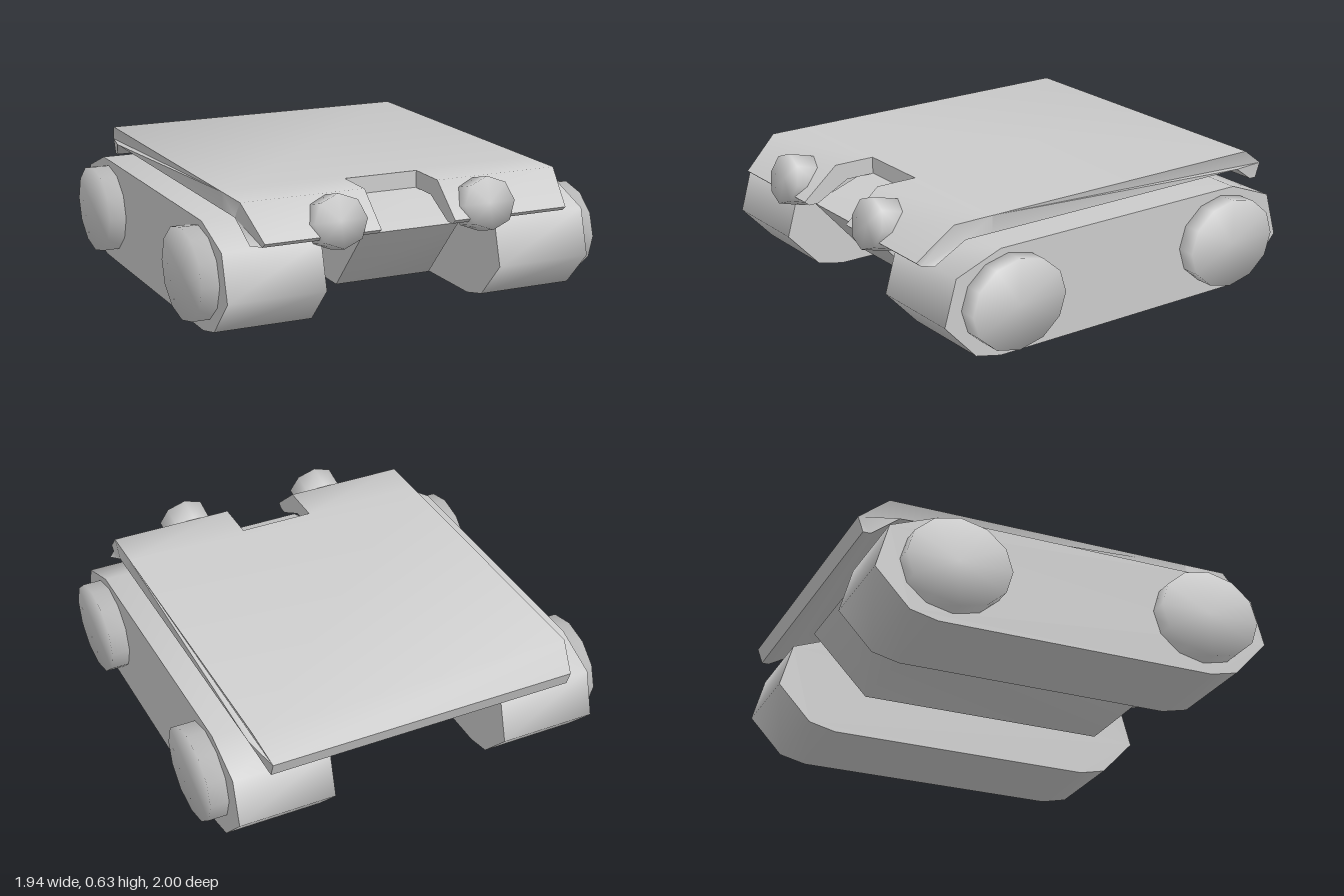
import * as THREE from 'three';
import { mergeVertices, toCreasedNormals } from 'three/addons/utils/BufferGeometryUtils.js';

const material = new THREE.MeshStandardMaterial({ color: 0xcccccc });

// Prism across x from x0 to x1, its outline given as [z, y] points
function prism(points, x0, x1) {
  const shape = new THREE.Shape(points.map(([z, y]) => new THREE.Vector2(z, y)));
  const geometry = new THREE.ExtrudeGeometry(shape, { depth: x1 - x0, bevelEnabled: false });
  return geometry.rotateY(-Math.PI / 2).translate(x1, 0, 0);
}

// Cylinder whose caps blend softly into the rim
function softCylinder(sides) {
  const geometry = new THREE.CylinderGeometry(1, 1, 1, sides);
  geometry.deleteAttribute('normal');
  geometry.deleteAttribute('uv');
  const merged = mergeVertices(geometry);
  merged.computeVertexNormals();
  return merged;
}

// Pulls in the outer corners at the very front and back of the lid
function trimCorners(geometry) {
  const p = geometry.attributes.position;
  for (let i = 0; i < p.count; i++) {
    if (Math.abs(p.getX(i)) > 0.75 && Math.abs(p.getZ(i)) > 0.9) {
      p.setX(i, Math.sign(p.getX(i)) * 0.735);
    }
  }
  return geometry;
}

export function createModel() {
  const group = new THREE.Group();
  const add = (name, geometry, parent = group) => {
    const mesh = new THREE.Mesh(geometry, material);
    mesh.name = name;
    parent.add(mesh);
    return mesh;
  };
  const creased = (geometry) => toCreasedNormals(geometry, 1.1);

  // Tracks with two hub discs on each outer side
  const track = [
    [0.64, 0], [0.77, 0.03], [0.93, 0.2], [0.87, 0.41], [0.64, 0.495],
    [-0.69, 0.495], [-0.91, 0.41], [-0.97, 0.2], [-0.81, 0.03], [-0.68, 0],
  ].reverse();
  for (const side of [1, -1]) {
    const label = side > 0 ? 'left' : 'right';
    const [x0, x1] = side > 0 ? [0.425, 0.885] : [-0.89, -0.43];
    add(label + 'Track', creased(prism(track, x0, x1)));
    for (const [end, z] of [['Front', 0.6], ['Rear', -0.615]]) {
      const hub = softCylinder(12).rotateZ(Math.PI / 2).scale(0.12, 0.21, 0.245);
      add(label + end + 'Wheel', hub.translate(side * 0.912, 0.257, z));
    }
  }

  // Central hull between the tracks
  const hull = [
    [0.59, 0.525], [0.89, 0.42], [0.62, 0.12],
    [-0.6, 0.12], [-0.87, 0.4], [-0.75, 0.525],
  ];
  add('hull', creased(prism(hull, -0.24, 0.23)));

  // Lid: full-width plate with a turned-down rear edge
  const lid = new THREE.Group();
  lid.name = 'lid';
  group.add(lid);
  const plate = [
    [0.6, 0.52], [0.6, 0.6], [-0.87, 0.6], [-1, 0.51],
    [-0.975, 0.44], [-0.94, 0.44], [-0.82, 0.52],
  ];
  add('lidPlate', creased(trimCorners(prism(plate, -0.775, 0.77))), lid);

  // Two turned-down front flaps leave a notch in the middle
  const flap = [[0.6, 0.52], [0.6, 0.6], [0.8, 0.6], [0.97, 0.455], [0.945, 0.435], [0.9, 0.435], [0.74, 0.52]];
  add('leftLidFlap', creased(trimCorners(prism(flap, 0.17, 0.77))), lid);
  add('rightLidFlap', creased(trimCorners(prism(flap, -0.775, -0.19))), lid);

  // Headlamps, tilted slightly upward
  for (const [name, x] of [['leftHeadlamp', 0.345], ['rightHeadlamp', -0.38]]) {
    const lamp = softCylinder(8).scale(0.125, 0.135, 0.12).rotateX(Math.PI / 2 - 0.27);
    add(name, lamp.translate(x, 0.497, 0.902));
  }
  return group;
}
